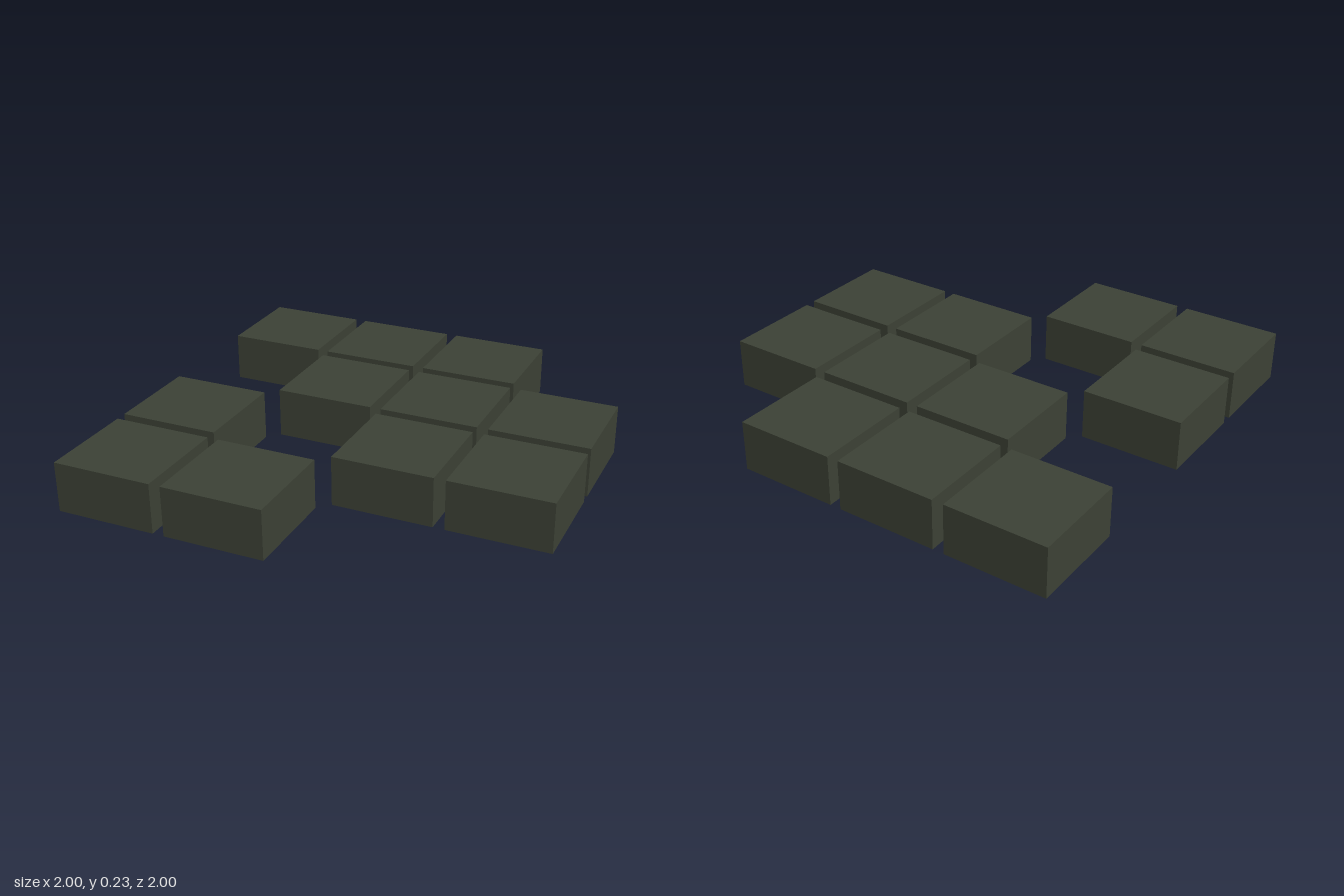
import * as THREE from 'three';

const SIZE = 0.461, HEIGHT = 0.23, PITCH = 0.513;

// Rows run from back (-z) to front (+z), columns from -x to +x
const LAYOUT = ['###.', '.###', '#.##', '##..'];

// Box without its bottom face: a hollow cap standing on y = 0
function hollowBlock() {
  const geo = new THREE.BoxGeometry(SIZE, HEIGHT, SIZE);
  const index = Array.from(geo.index.array);
  index.splice(18, 6);
  geo.setIndex(index);
  geo.clearGroups();
  return geo.translate(0, HEIGHT / 2, 0);
}

export function createModel() {
  const model = new THREE.Group();
  model.name = 'blockPattern';
  const darkOlive = new THREE.MeshStandardMaterial({ color: 0x3c4135, side: THREE.DoubleSide });
  darkOlive.name = 'darkOlive';
  const geo = hollowBlock();

  LAYOUT.forEach((line, row) => {
    [...line].forEach((cell, col) => {
      if (cell !== '#') return;
      const block = new THREE.Mesh(geo, darkOlive);
      block.name = `block_row${row + 1}_column${col + 1}`;
      block.position.set((col - 1.5) * PITCH, 0, (row - 1.5) * PITCH);
      model.add(block);
    });
  });
  return model;
}
